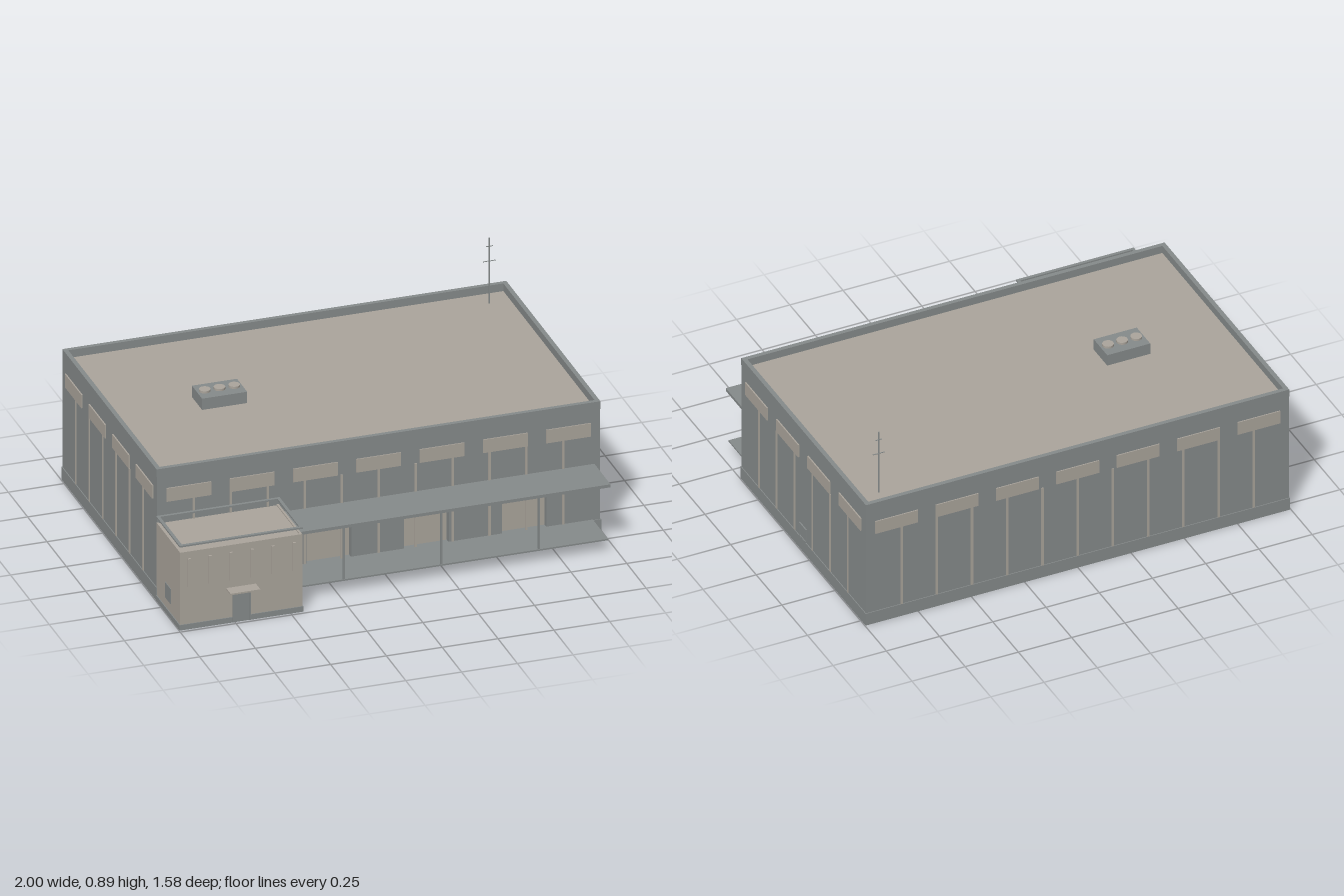
import * as THREE from 'three';

const mat = (name, color) => {
  const m = new THREE.MeshStandardMaterial({ color });
  m.name = name;
  return m;
};

export function createModel() {
  const model = new THREE.Group();
  model.name = 'warehouse';
  const grey = mat('grey cladding', 0x858a8a);
  const beige = mat('beige plaster', 0xaaa49b);

  // box given by its lower and upper bounds on each axis
  const box = (name, material, x0, x1, y0, y1, z0, z1, parent = model) => {
    const mesh = new THREE.Mesh(new THREE.BoxGeometry(x1 - x0, y1 - y0, z1 - z0), material);
    mesh.position.set((x0 + x1) / 2, (y0 + y1) / 2, (z0 + z1) / 2);
    mesh.name = name;
    parent.add(mesh);
    return mesh;
  };
  // hollow rectangular band, open in the middle
  const ring = (name, material, x0, x1, y0, y1, z0, z1, t) => {
    const g = new THREE.Group();
    g.name = name;
    box(name + 'Front', material, x0, x1, y0, y1, z1 - t, z1, g);
    box(name + 'Back', material, x0, x1, y0, y1, z0, z0 + t, g);
    box(name + 'Left', material, x1 - t, x1, y0, y1, z0 + t, z1 - t, g);
    box(name + 'Right', material, x0, x0 + t, y0, y1, z0 + t, z1 - t, g);
    model.add(g);
  };
  const rod = (name, material, r, length, x, y, z) => {
    const mesh = new THREE.Mesh(new THREE.CylinderGeometry(r, r, length, 16), material);
    mesh.position.set(x, y, z);
    mesh.name = name;
    model.add(mesh);
    return mesh;
  };

  // main hall: hollow, no floor
  const W = 0.993, B = -0.788, F = 0.427, H = 0.615, T = 0.01;
  box('backWall', grey, -W, W, 0, H, B, B + T);
  box('leftWall', grey, W - T, W, 0, H, B + T, F - T);
  box('rightWall', grey, -W, -W + T, 0, H, B + T, F - T);

  // front wall with loading door openings
  const doorX = [-0.66, -0.222, 0.215, 0.653];
  const front = new THREE.Shape([[-W, 0], [W, 0], [W, H], [-W, H]].map(p => new THREE.Vector2(...p)));
  for (const x of doorX) {
    front.holes.push(new THREE.Path([[x - 0.1, 0.06], [x - 0.1, 0.295], [x + 0.1, 0.295], [x + 0.1, 0.06]]
      .map(p => new THREE.Vector2(...p))));
  }
  const frontWall = new THREE.Mesh(new THREE.ExtrudeGeometry(front, { depth: T, bevelEnabled: false }), grey);
  frontWall.position.z = F - T;
  frontWall.name = 'frontWall';
  model.add(frontWall);
  for (const x of doorX) {
    // recessed door with its jambs
    box('loadingDoor', beige, x - 0.1, x + 0.1, 0.06, 0.295, F - 0.035, F - 0.027);
    for (const s of [-1, 1]) {
      box('doorJamb', grey, x + s * 0.102 - 0.002, x + s * 0.102 + 0.002, 0.056, 0.299, F - 0.035, F - T);
    }
    box('doorHead', grey, x - 0.1, x + 0.1, 0.295, 0.299, F - 0.035, F - T);
    box('doorSill', grey, x - 0.1, x + 0.1, 0.056, 0.06, F - 0.035, F - T);
  }

  // plinth, parapet and roof
  ring('plinth', grey, -W - 0.004, W + 0.004, 0, 0.06, B - 0.004, F + 0.004, 0.006);
  ring('parapet', grey, -W - 0.001, W + 0.001, 0.58, H + 0.001, B - 0.001, F + 0.001, 0.02);
  box('roof', beige, -W + T, W - T, 0.57, 0.58, B + T, F - T);

  // high windows and wall strips, front and back
  for (const z of [B, F]) {
    for (let i = -3; i <= 3; i++) {
      const x = i * 0.2835;
      box('highWindow', beige, x - 0.1, x + 0.1, 0.458, 0.521, z - 0.005, z + 0.005);
    }
    for (let i = -5; i <= 5; i++) {
      const x = i * 0.1655;
      box('wallStrip', beige, x - 0.005, x + 0.005, 0.06, 0.458, z - 0.004, z + 0.004);
    }
  }
  // and on the two short sides
  for (const x of [-W, W]) {
    for (let i = 0; i < 4; i++) {
      const z = 0.275 - i * 0.304;
      box('highWindow', beige, x - 0.006, x + 0.006, 0.458, 0.521, z - 0.107, z + 0.107);
    }
    for (let i = 0; i < 6; i++) {
      const z = 0.254 - i * 0.1735;
      box('wallStrip', beige, x - 0.004, x + 0.004, 0.06, 0.458, z - 0.005, z + 0.005);
    }
  }
  // service hatch on the left side
  box('serviceHatch', grey, W - 0.012, W + 0.002, 0.068, 0.127, -0.208, -0.148);
  for (const z of [-0.212, -0.148]) box('hatchFrame', grey, W, W + 0.006, 0.064, 0.131, z, z + 0.004);
  for (const y of [0.064, 0.127]) box('hatchFrame', grey, W, W + 0.006, y, y + 0.004, -0.208, -0.148);

  // loading platform, canopy and posts
  box('platform', grey, -0.44, 0.96, 0.056, 0.063, F, 0.622);
  box('canopy', grey, -0.44, 0.967, 0.311, 0.325, F, 0.635);
  for (const x of doorX.slice(1)) box('canopyPost', grey, x - 0.004, x + 0.004, 0.063, 0.311, 0.612, 0.62);

  // office annex
  const A0 = -0.994, A1 = -0.447, AF = 0.732;
  box('annexFrontWall', beige, A0, A1, 0, 0.365, AF - T, AF);
  box('annexLeftWall', beige, A1 - T, A1, 0, 0.365, F, AF - T);
  box('annexRightWall', beige, A0, A0 + T, 0, 0.365, F, AF - T);
  box('annexRoof', beige, A0 + T, A1 - T, 0.35, 0.36, F, AF - T);
  box('annexPlinthLeft', grey, A1, A1 + 0.004, 0, 0.025, F, AF);
  box('annexPlinthRight', grey, A0 - 0.004, A0, 0, 0.025, F, AF);
  box('annexPlinthFront', grey, A0 - 0.004, -0.762, 0, 0.025, AF, AF + 0.004);
  box('annexPlinthFront', grey, -0.678, A1 + 0.004, 0, 0.025, AF, AF + 0.004);
  ring('roofRail', grey, A0 - 0.003, A1 + 0.003, 0.391, 0.398, F + 0.002, AF + 0.003, 0.014);
  for (let i = 0; i < 6; i++) {
    const x = -0.955 + i * 0.094;
    box('annexFin', beige, x - 0.006, x + 0.006, 0.2, 0.333, AF, AF + 0.009);
  }
  for (const x of [A0, A1]) box('annexWindow', grey, x - 0.003, x + 0.003, 0.068, 0.14, 0.542, 0.614);

  // entrance
  box('entranceDoor', grey, -0.754, -0.686, 0, 0.134, AF, AF + 0.003);
  for (const x of [-0.76, -0.686]) box('entranceFrame', grey, x, x + 0.006, 0, 0.134, AF, AF + 0.006);
  box('entranceFrame', grey, -0.76, -0.68, 0.134, 0.14, AF, AF + 0.006);
  box('entranceCanopy', beige, -0.788, -0.655, 0.158, 0.165, AF, 0.79);

  // rooftop fan unit
  box('fanUnit', grey, -0.602, -0.4, 0.58, 0.633, -0.247, -0.115);
  for (const x of [-0.567, -0.501, -0.435]) rod('fanCap', beige, 0.025, 0.01, x, 0.638, -0.182);

  // aerial
  rod('aerialMast', grey, 0.003, 0.31, 0.88, 0.735, -0.678);
  rod('aerialBar', grey, 0.002, 0.056, 0.88, 0.78, -0.678).rotation.z = Math.PI / 2;
  rod('aerialBar', grey, 0.002, 0.03, 0.88, 0.85, -0.678).rotation.z = Math.PI / 2;

  return model;
}
